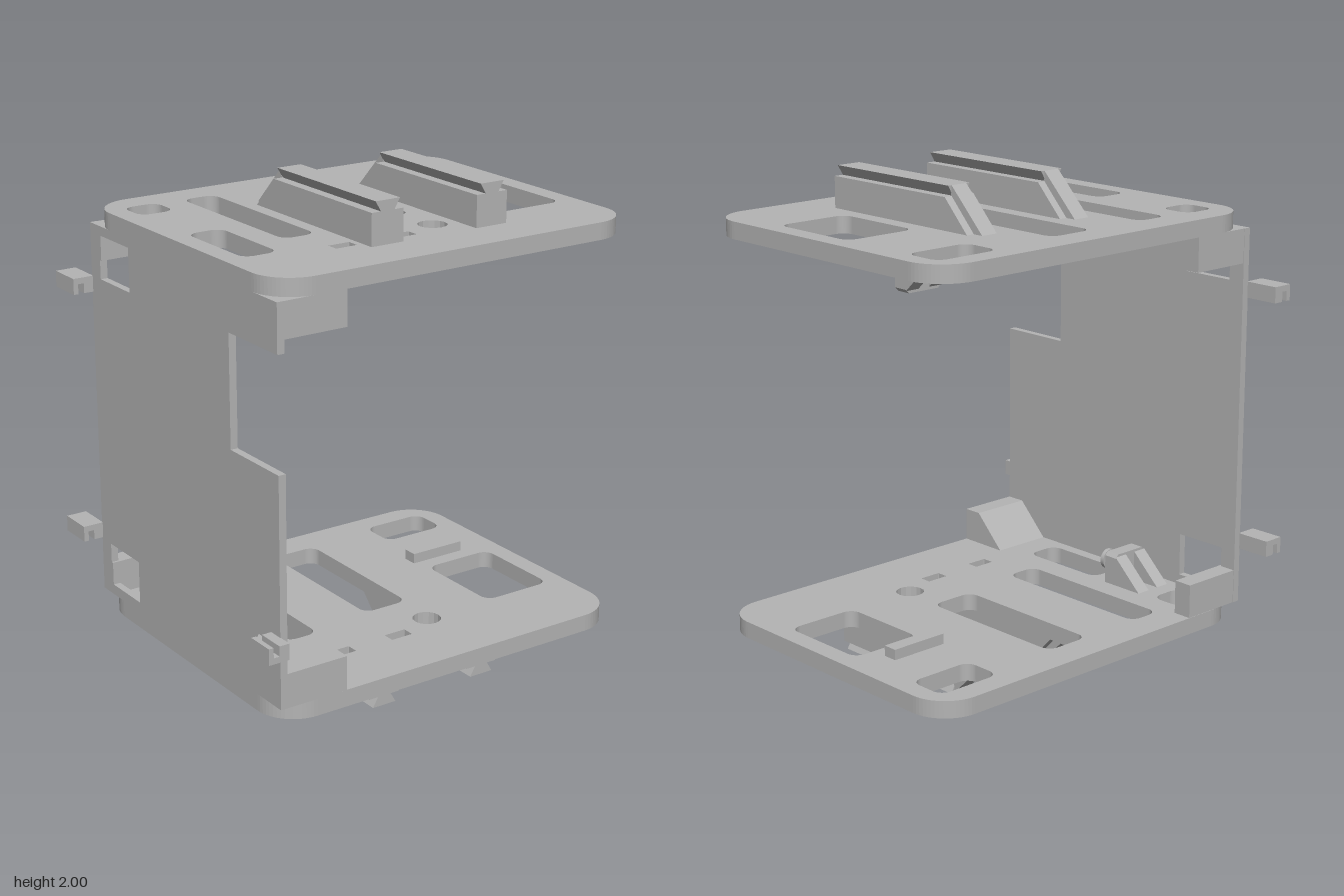
import * as THREE from 'three';

const gray = new THREE.MeshStandardMaterial({ color: 0xb4b4b4 });
gray.name = 'plain grey';

const poly = (pts) => new THREE.Shape(pts.map(([a, b]) => new THREE.Vector2(a, b)));

// Rounded rectangle traced counter-clockwise
function roundRect(Type, x0, y0, x1, y1, r) {
  const s = new Type(), q = Math.PI / 2;
  s.absarc(x1 - r, y0 + r, r, -q, 0);
  s.absarc(x1 - r, y1 - r, r, 0, q);
  s.absarc(x0 + r, y1 - r, r, q, 2 * q);
  s.absarc(x0 + r, y0 + r, r, 2 * q, 3 * q);
  s.closePath();
  return s;
}

const extrude = (shape, depth) =>
  new THREE.ExtrudeGeometry(shape, { depth, bevelEnabled: false, curveSegments: 8 });

// Profile in (x, y) running along z
const alongZ = (shape, z0, z1) => extrude(shape, z1 - z0).translate(0, 0, z0);
// Profile in (z, y) running along x
const alongX = (shape, x0, x1) => extrude(shape, x1 - x0).rotateY(-Math.PI / 2).translate(x1, 0, 0);
// Plan in (x, -z) raised along y
const alongY = (shape, y0, y1) => extrude(shape, y1 - y0).rotateX(-Math.PI / 2).translate(0, y0, 0);

const box = (x0, x1, y0, y1, z0, z1) =>
  new THREE.BoxGeometry(x1 - x0, y1 - y0, z1 - z0)
    .translate((x0 + x1) / 2, (y0 + y1) / 2, (z0 + z1) / 2);

export function createModel() {
  const model = new THREE.Group();
  model.name = 'railFrame';
  const add = (name, geometry, parent = model) => {
    const mesh = new THREE.Mesh(geometry, gray);
    mesh.name = name;
    parent.add(mesh);
  };

  // Plate openings: x0, x1, z0, z1, corner radius
  const openings = [
    [-0.68, -0.535, -0.5, -0.36, 0.045],
    [-0.68, -0.535, -0.025, 0.365, 0.045],
    [-0.425, -0.285, -0.485, 0.23, 0.045],
    [-0.025, 0.175, -0.485, 0.185, 0.045],
    [0.48, 0.76, -0.525, -0.36, 0.045],
    [0.45, 0.76, -0.035, 0.365, 0.045],
    [-0.345, -0.255, 0.4, 0.45, 0.003],
    [-0.085, 0.01, 0.4, 0.45, 0.003],
  ];
  const plan = roundRect(THREE.Shape, -0.76, -0.7, 0.84, 0.62, 0.16);
  for (const [x0, x1, z0, z1, r] of openings) {
    plan.holes.push(roundRect(THREE.Path, x0, -z1, x1, -z0, r));
  }
  const round = new THREE.Path();
  round.absarc(0.145, -0.365, 0.057, 0, Math.PI * 2);
  plan.holes.push(round);

  // Post with a headed pin in front and two gussets behind
  function addPeg(x, fy, parent) {
    const peg = new THREE.Group();
    peg.name = 'peg';
    parent.add(peg);
    const block = [[-0.085, 1.77], [-0.085, 1.65], [-0.07, 1.635], [0.07, 1.635], [0.085, 1.65], [0.085, 1.77]];
    add('pegBlock', alongZ(poly(block.map(([a, y]) => [x + a, fy(y)])), -0.16, -0.1), peg);
    const gusset = [[-0.16, 1.77], [-0.16, 1.645], [-0.295, 1.77]].map(([z, y]) => [z, fy(y)]);
    for (const s of [-0.085, 0.025]) add('pegGusset', alongX(poly(gusset), x + s, x + s + 0.06), peg);
    const pin = (r, z0, z1) => new THREE.CylinderGeometry(r, r, z1 - z0, 24)
      .rotateX(Math.PI / 2).translate(x, fy(1.7), (z0 + z1) / 2);
    add('pinShaft', pin(0.026, -0.1, -0.045), peg);
    add('pinHead', pin(0.042, -0.047, -0.03), peg);
  }

  // Upper and lower ends share one layout, flipped about y = 1
  for (const upper of [true, false]) {
    const fy = (y) => (upper ? y : 2 - y);
    const flip = (pts) => poly(pts.map(([a, y]) => [a, fy(y)]));
    const end = new THREE.Group();
    end.name = upper ? 'upperEnd' : 'lowerEnd';
    model.add(end);

    add('plate', alongY(plan, upper ? 1.767 : 0.165, upper ? 1.835 : 0.233), end);

    // Rails with a dovetail top and a sloping rear rib
    for (const x of [-0.16, 0.3125]) {
      add('railBody', alongX(flip([[0.505, 1.83], [0.505, 1.96], [-0.135, 1.96], [-0.26, 1.83]]), x - 0.07, x + 0.07), end);
      add('railDovetail', alongZ(flip([[x - 0.027, 1.955], [x + 0.027, 1.955], [x + 0.053, 2], [x - 0.053, 2]]), -0.135, 0.505), end);
      add('railRearRib', alongX(flip([[-0.13, 1.955], [-0.135, 2], [-0.3, 1.835], [-0.25, 1.835]]), x - 0.036, x + 0.036), end);
    }

    // Corner brackets joining the plate to the wall
    add('frontBracket', alongX(flip([[0.7, 1.767], [0.7, 1.63], [0.62, 1.63], [0.483, 1.767]]), -0.76, -0.47), end);
    add('rearBracket', alongX(flip([[-0.618, 1.767], [-0.618, 1.63], [-0.54, 1.63], [-0.54, 1.767]]), -0.76, -0.47), end);

    addPeg(-0.607, fy, end);
    if (upper) addPeg(0.51, fy, end);
    else add('stopBar', box(0.425, 0.67, 0.23, 0.275, -0.16, -0.1), end);
  }

  // Side wall with a front notch and two windows
  const wall = poly([[-0.62, 0.233], [0.7, 0.233], [0.7, 1.14], [0.385, 1.14], [0.385, 1.58], [0.7, 1.58], [0.7, 1.767], [-0.62, 1.767]]);
  for (const [y0, y1] of [[0.275, 0.45], [1.555, 1.73]]) {
    wall.holes.push(new THREE.Path([[-0.55, y0], [-0.325, y0], [-0.325, y1], [-0.55, y1]]
      .map(([z, y]) => new THREE.Vector2(z, y))));
  }
  add('sideWall', alongX(wall, -0.76, -0.73));

  // Grooved clips on the outside of the wall
  const clip = (y0, openUp) => {
    const pts = [[-0.845, 0], [-0.825, 0], [-0.825, 0.04], [-0.8, 0.04], [-0.8, 0], [-0.758, 0], [-0.758, 0.064], [-0.845, 0.064]];
    return poly(pts.map(([x, y]) => [x, y0 + (openUp ? 0.064 - y : y)]));
  };
  add('rearClip', alongZ(clip(1.49, false), -0.76, -0.615));
  add('rearClip', alongZ(clip(0.457, false), -0.76, -0.615));
  add('frontClip', alongZ(clip(0.457, true), 0.64, 0.757));
  add('frontClipWedge', alongY(poly([[-0.758, -0.555], [-0.845, -0.64], [-0.758, -0.64]]), 0.457, 0.481));

  return model;
}
